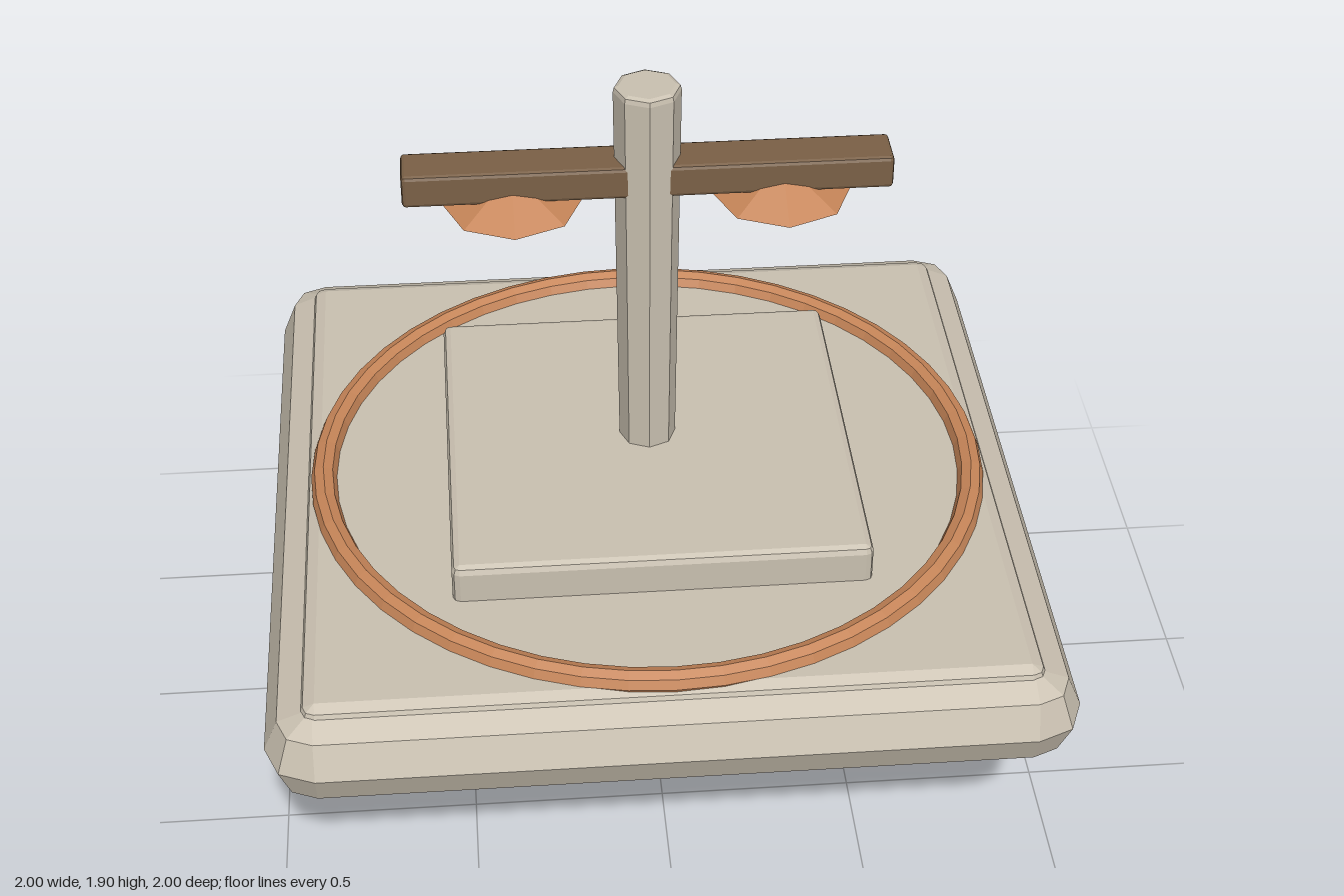
import * as THREE from 'three';

// Box with two-step bevels on every edge, lofted from stacked rounded rectangles
function bevelledBox(hx, hz, y0, y1, r) {
  const levels = [];
  for (const deg of [-90, -45, 0, 0, 45, 90]) levels.push(deg * Math.PI / 180);
  const loops = levels.map((a, i) => {
    const y = (i < 3 ? y0 + r : y1 - r) + r * Math.sin(a);
    const c = r * Math.cos(a);
    const loop = [];
    for (let q = 0; q < 4; q++) {
      const sx = q === 0 || q === 3 ? 1 : -1;
      const sz = q < 2 ? 1 : -1;
      for (let k = 0; k < 3; k++) {
        const t = q * Math.PI / 2 + k * Math.PI / 4;
        loop.push([sx * (hx - r) + c * Math.cos(t), y, sz * (hz - r) + c * Math.sin(t)]);
      }
    }
    return loop;
  });
  const pos = [];
  const tri = (a, b, c) => pos.push(...a, ...b, ...c);
  const n = 12;
  for (let l = 0; l < loops.length - 1; l++) {
    for (let i = 0; i < n; i++) {
      const j = (i + 1) % n;
      const lo = loops[l], up = loops[l + 1];
      tri(lo[i], up[i], lo[j]);
      tri(up[i], up[j], lo[j]);
    }
  }
  const bottom = loops[0], top = loops[loops.length - 1];
  for (let i = 0; i < n; i++) {
    const j = (i + 1) % n;
    tri([0, y1, 0], top[j], top[i]);
    tri([0, y0, 0], bottom[i], bottom[j]);
  }
  const g = new THREE.BufferGeometry();
  g.setAttribute('position', new THREE.Float32BufferAttribute(pos, 3));
  g.computeVertexNormals();
  return g;
}

export function createModel() {
  const model = new THREE.Group();
  model.name = 'floatingShrine';

  const stone = new THREE.MeshStandardMaterial({ name: 'pale stone', color: 0xc9c0b0, flatShading: true });
  const copper = new THREE.MeshStandardMaterial({ name: 'copper', color: 0xc68558, flatShading: true });
  const wood = new THREE.MeshStandardMaterial({ name: 'dark wood', color: 0x7a6046, flatShading: true });

  const add = (name, geometry, material, x = 0, y = 0, z = 0) => {
    const mesh = new THREE.Mesh(geometry, material);
    mesh.name = name;
    mesh.position.set(x, y, z);
    model.add(mesh);
    return mesh;
  };

  // Stacked stone platform
  add('baseSlab', bevelledBox(1, 1, 0.49, 0.74, 0.125), stone);
  add('topPlate', bevelledBox(0.91, 0.91, 0.65, 0.752, 0.04), stone);
  add('plinth', bevelledBox(0.53, 0.53, 0.72, 0.855, 0.02), stone);

  // Copper ring set into the platform
  const ring = new THREE.TorusGeometry(0.86, 0.034, 8, 48);
  ring.rotateX(Math.PI / 2);
  add('ring', ring, copper, 0, 0.752, 0);

  // Octagonal post, slightly wider at the top, with a softened rim
  const profile = [[0, 0.8], [0.073, 0.8], [0.084, 1.89], [0.081, 1.902], [0.07, 1.907], [0, 1.907]];
  add('post', new THREE.LatheGeometry(profile.map(([x, y]) => new THREE.Vector2(x, y)), 8), stone);

  // Crossbeam with a shallow copper shade under each arm
  add('crossbeam', bevelledBox(0.606, 0.06, 1.62, 1.707, 0.01), wood);
  for (const [side, name] of [[1, 'leftShade'], [-1, 'rightShade']]) {
    add(name, new THREE.ConeGeometry(0.174, 0.085, 8), copper, side * 0.335, 1.633, 0);
  }

  // Loose rocks hovering underneath, each standing on a vertex
  const rocks = [
    [-0.37, 0.12, 0.245, 0.116],
    [0.48, 0.212, -0.162, 0.171],
    [0.404, 0.27, -0.424, 0.107],
  ];
  rocks.forEach(([x, y, z, r], i) => {
    const rock = new THREE.IcosahedronGeometry(r, 0);
    rock.rotateZ(-Math.atan(2 / (1 + Math.sqrt(5))));
    add(`rock${i + 1}`, rock, stone, x, y, z);
  });

  return model;
}
